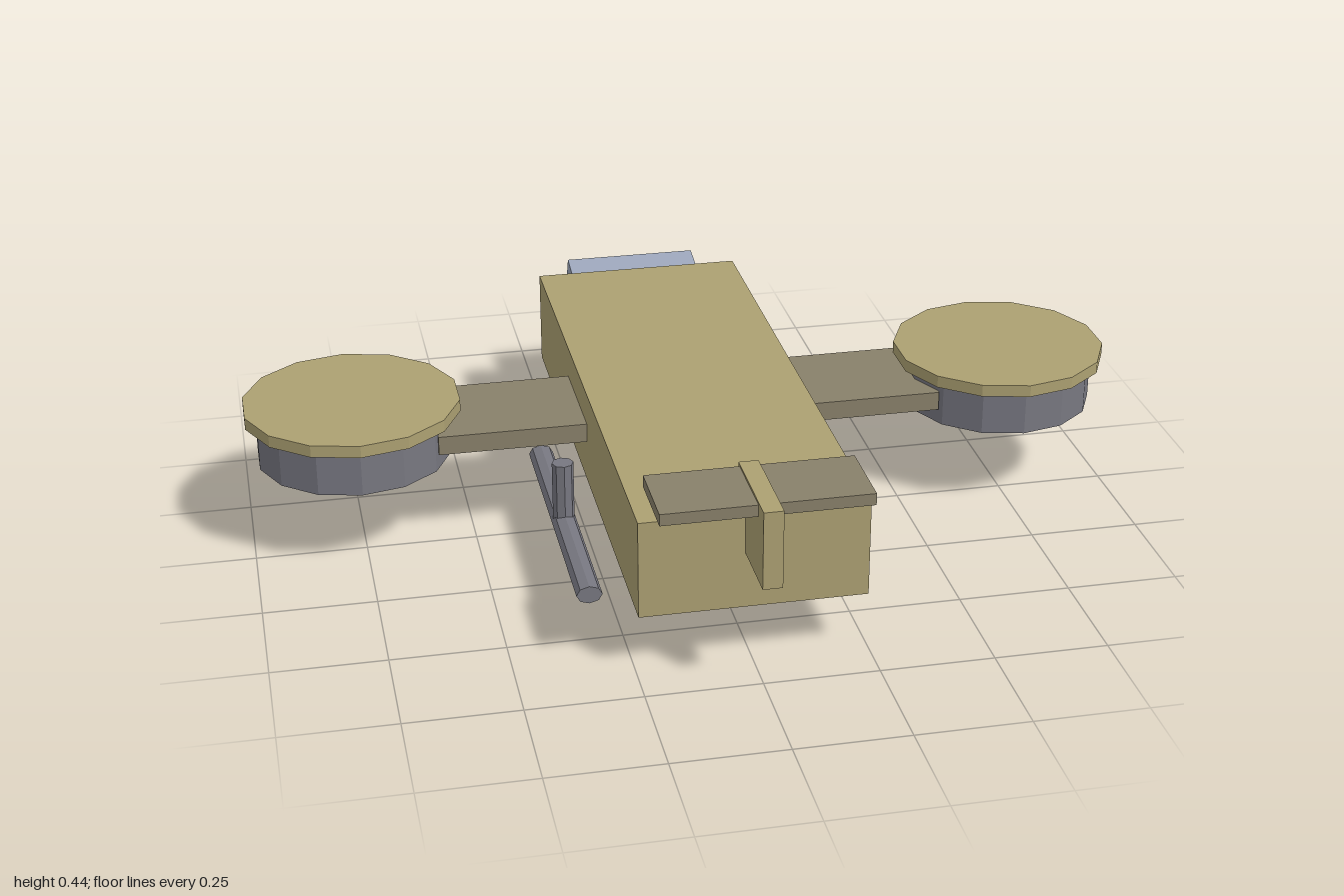
import * as THREE from 'three';

const mat = (color) => new THREE.MeshStandardMaterial({ color, flatShading: true });

export function createModel() {
  const model = new THREE.Group();
  model.name = 'twinRotorAircraft';
  const tan = mat(0xaca072);
  const drab = mat(0x88806a);
  const metal = mat(0x777780);
  const glass = mat(0x9ba5b9);

  const add = (name, geometry, material, x, y, z) => {
    const mesh = new THREE.Mesh(geometry, material);
    mesh.name = name;
    mesh.position.set(x, y, z);
    model.add(mesh);
    return mesh;
  };
  // Box given by its lower and upper limits on each axis
  const box = (name, material, [x0, x1], [y0, y1], [z0, z1]) =>
    add(name, new THREE.BoxGeometry(x1 - x0, y1 - y0, z1 - z0), material,
      (x0 + x1) / 2, (y0 + y1) / 2, (z0 + z1) / 2);

  // Hull and belly plate
  box('fuselage', tan, [-0.245, 0.245], [0.135, 0.355], [-0.66, 0.66]);
  box('bellyPlate', drab, [-0.185, 0.185], [0.085, 0.15], [-0.395, 0.485]);

  // Tail fin and stabilizer
  box('tailFin', tan, [-0.021, 0.021], [0.263, 0.437], [0.59, 0.817]);
  box('tailStabilizer', drab, [-0.222, 0.222], [0.406, 0.432], [0.6, 0.773]);

  // Slanted cockpit: side profile in (-z, y), extruded across the width
  const profile = new THREE.Shape([
    [0.6, 0.178], [0.817, 0.221], [0.757, 0.352], [0.6, 0.318],
  ].map(([a, b]) => new THREE.Vector2(a, b)));
  const cockpit = new THREE.ExtrudeGeometry(profile, { depth: 0.316, bevelEnabled: false });
  cockpit.translate(0, 0, -0.158).rotateY(Math.PI / 2);
  add('cockpit', cockpit, glass, 0, 0, 0);

  // Wings, rotor pods and landing skids on both sides
  for (const [side, s] of [['left', 1], ['right', -1]]) {
    const wing = [0.2 * s, 0.58 * s].sort((a, b) => a - b);
    box(side + 'Wing', drab, wing, [0.236, 0.28], [-0.225, 0.037]);

    add(side + 'RotorPod', new THREE.CylinderGeometry(0.22, 0.22, 0.106, 14), metal,
      0.76 * s, 0.253, -0.093);
    add(side + 'RotorCap', new THREE.CylinderGeometry(0.246, 0.246, 0.028, 14), tan,
      0.76 * s, 0.319, -0.093);

    add(side + 'SkidStrut', new THREE.CylinderGeometry(0.025, 0.025, 0.15, 8), metal,
      0.297 * s, 0.095, 0);
    const skid = new THREE.CylinderGeometry(0.029, 0.029, 0.704, 8);
    skid.rotateX(Math.PI / 2).scale(1, 0.72, 1);
    add(side + 'Skid', skid, metal, 0.297 * s, 0.021, 0);
  }
  return model;
}
